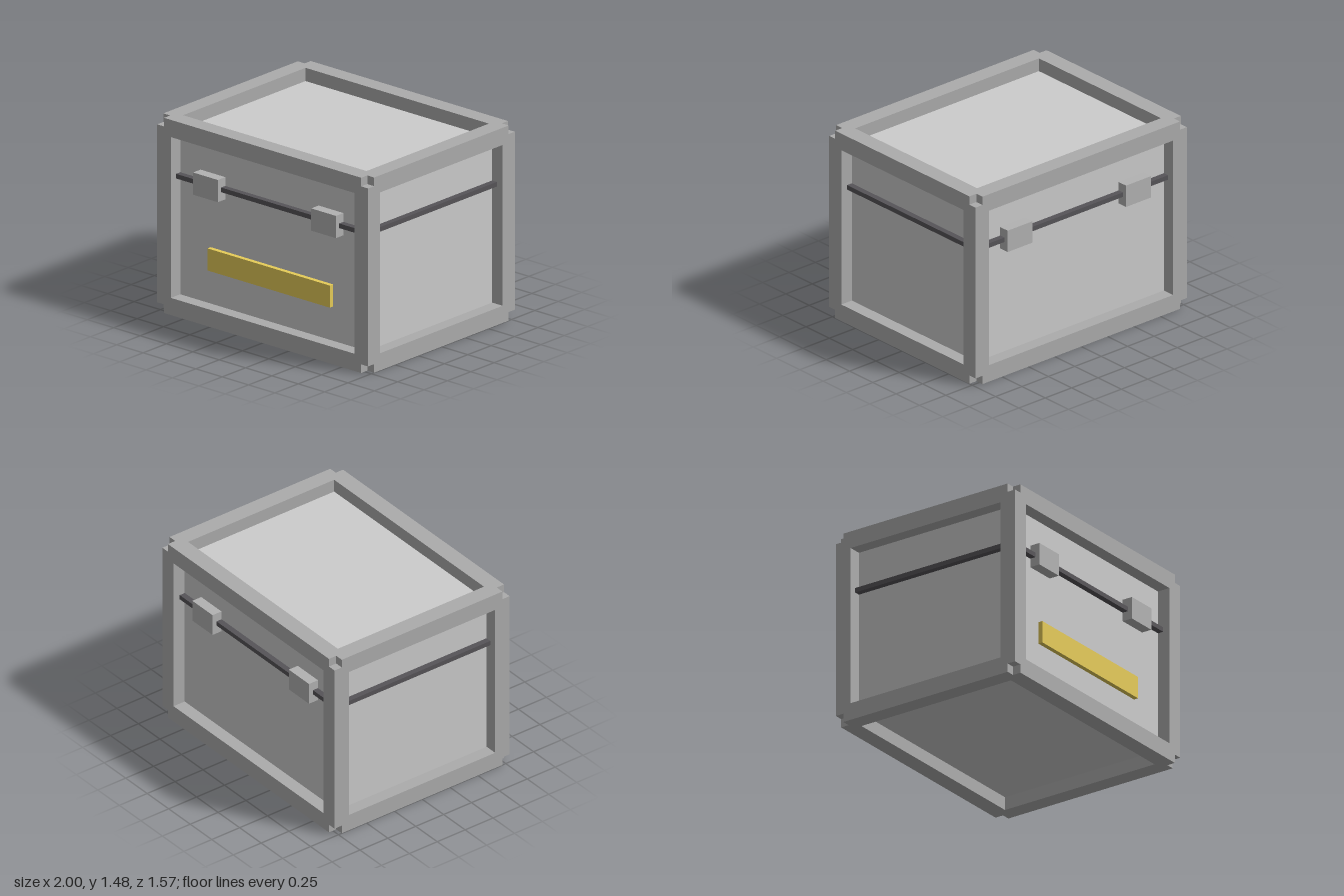
import * as THREE from 'three';

const W = 2, H = 1.475, D = 1.57; // outer size
const BEAM = 0.13;                // frame beam thickness
const RECESS = 0.1;               // panels sit this far behind the frame

const paint = (color) => new THREE.MeshStandardMaterial({ color });

export function createModel() {
  const crate = new THREE.Group();
  crate.name = 'crate';
  const panelMat = paint(0xcccccc);
  const frameMat = paint(0xacacac);
  const claspMat = paint(0xb2b2b2);
  const sealMat = paint(0x565458);
  const plateMat = paint(0xe6cc58);

  const box = (name, size, pos, mat, parent = crate) => {
    const mesh = new THREE.Mesh(new THREE.BoxGeometry(...size), mat);
    mesh.position.set(...pos);
    mesh.name = name;
    parent.add(mesh);
    return mesh;
  };

  // Inner body, recessed on all six sides
  box('body', [W - 2 * RECESS, H - 2 * RECESS, D - 2 * RECESS], [0, H / 2, 0], panelMat);

  // Twelve beams running centre to centre, which leaves a small notch at each corner
  const frame = new THREE.Group();
  frame.name = 'frame';
  crate.add(frame);
  const span = [W - BEAM, H - BEAM, D - BEAM];
  ['beamX', 'beamY', 'beamZ'].forEach((name, axis) => {
    const u = (axis + 1) % 3, v = (axis + 2) % 3;
    for (const a of [-1, 1]) for (const b of [-1, 1]) {
      const size = [BEAM, BEAM, BEAM], pos = [0, H / 2, 0];
      size[axis] = span[axis];
      pos[u] += a * span[u] / 2;
      pos[v] += b * span[v] / 2;
      box(name, size, pos, frameMat, frame);
    }
  });

  // Dark lid seam around the four sides, with two clasps on front and back
  const panelX = W / 2 - RECESS, panelZ = D / 2 - RECESS;
  const seamY = 1.035, seamH = 0.035, seamOut = 0.045;
  const claspOut = 0.08;
  for (const s of [-1, 1]) {
    box('lidSeam', [W - 2 * BEAM, seamH, seamOut], [0, seamY, s * (panelZ + seamOut / 2)], sealMat);
    box('sideLidSeam', [seamOut, seamH, D - 2 * BEAM], [s * (panelX + seamOut / 2), seamY, 0], sealMat);
    for (const x of [-0.56, 0.56]) {
      box('clasp', [0.235, 0.168, claspOut], [x, seamY, s * (panelZ + claspOut / 2)], claspMat);
    }
  }

  // Yellow plate on the front
  box('frontPlate', [1.16, 0.167, 0.035], [0, 0.473, panelZ + 0.0175], plateMat);

  return crate;
}
